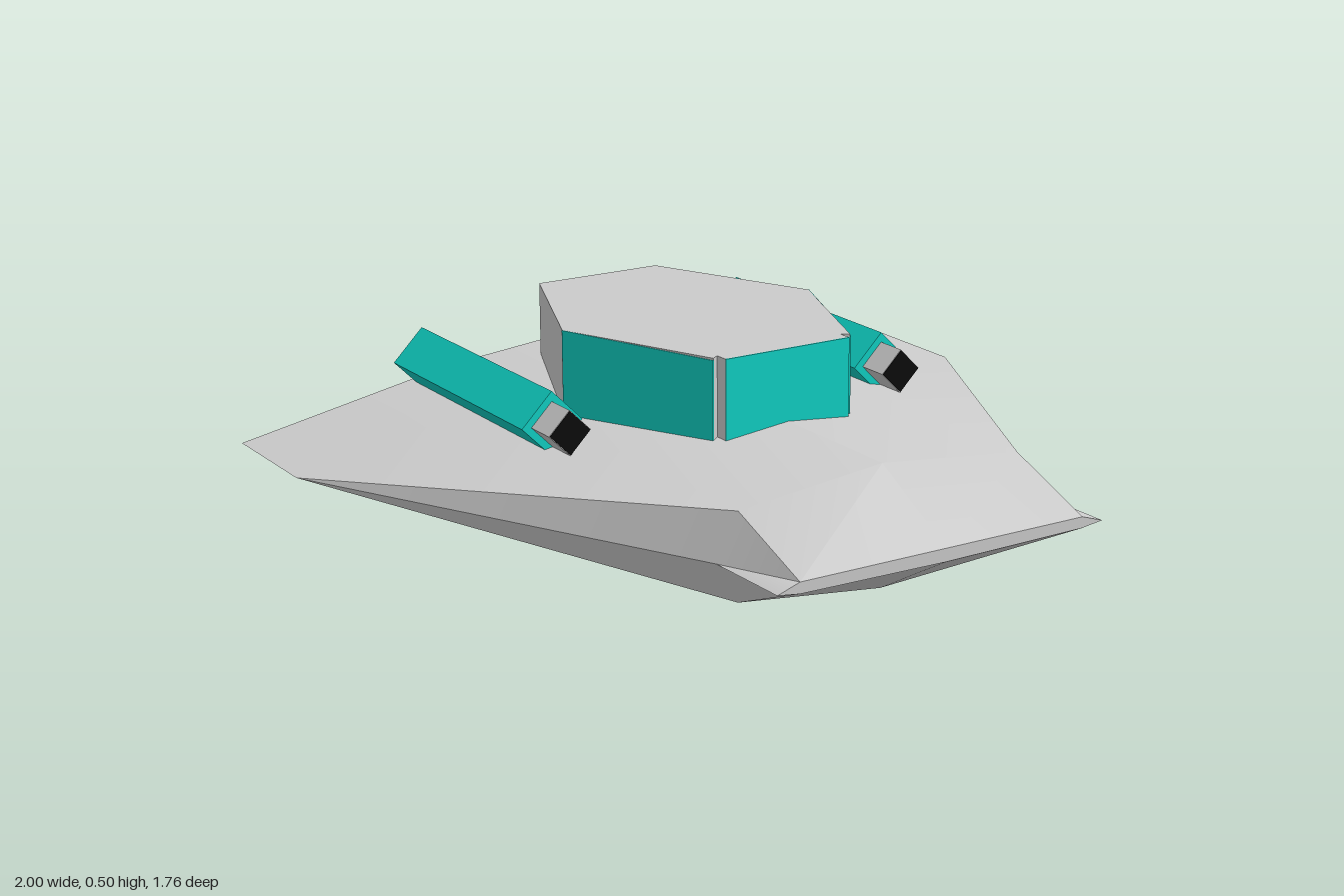
import * as THREE from 'three';
import { toCreasedNormals } from 'three/addons/utils/BufferGeometryUtils.js';

const paint = (color) => new THREE.MeshStandardMaterial({ color });

function add(parent, name, geometry, material, x = 0, y = 0, z = 0) {
  const mesh = new THREE.Mesh(geometry, material);
  mesh.name = name;
  mesh.position.set(x, y, z);
  parent.add(mesh);
  return mesh;
}

// Hull lofted through eight-cornered cross-sections, stern to bow
function hullGeometry() {
  const section = (z, w, edge, shoulder, ridge, chine, keel) => [
    [w, edge, z], [0.4, shoulder, z], [0, ridge, z], [-0.4, shoulder, z],
    [-w, edge, z], [-0.4, chine, z], [0, keel, z], [0.4, chine, z],
  ];
  const rings = [
    section(-0.785, 1, 0.16, 0.275, 0.315, 0.052, 0),
    section(-0.45, 1, 0.16, 0.275, 0.315, 0.052, 0),
    section(0.63, 0.46, 0.16, 0.275, 0.318, 0.054, 0.008),
    section(0.88, 0.46, 0.163, 0.183, 0.183, 0.155, 0.15),
  ];
  const pos = [];
  const tri = (...corners) => corners.forEach((c) => pos.push(...c));
  for (let i = 0; i < 3; i++) {
    const B = rings[i], F = rings[i + 1];
    for (let j = 0; j < 8; j++) {
      const k = (j + 1) % 8;
      // The fold always runs from the rear wing edge to the front shoulder
      if (k % 4 === 0) {
        tri(B[j], B[k], F[j]);
        tri(B[k], F[k], F[j]);
      } else {
        tri(B[j], B[k], F[k]);
        tri(B[j], F[k], F[j]);
      }
    }
  }
  for (let j = 1; j < 7; j++) {
    tri(rings[3][0], rings[3][j], rings[3][j + 1]);
    tri(rings[0][0], rings[0][j + 1], rings[0][j]);
  }
  const g = new THREE.BufferGeometry();
  g.setAttribute('position', new THREE.Float32BufferAttribute(pos, 3));
  return toCreasedNormals(g, 0.5);
}

// Diamond-section beam along z
function diamondBeam(halfDiagonal, length) {
  const side = halfDiagonal * Math.SQRT2;
  return new THREE.BoxGeometry(side, side, length).rotateZ(Math.PI / 4);
}

export function createModel() {
  const model = new THREE.Group();
  model.name = 'hoverCraft';
  const grey = paint(0xcccccc);
  const teal = paint(0x10d0c4);
  const black = paint(0x0a0a0a);

  add(model, 'hull', hullGeometry(), grey);

  // Cabin: hexagonal prism with a stepped front and a slightly sloping roof
  const cabin = new THREE.Group();
  cabin.name = 'cabin';
  model.add(cabin);
  const half = [[0.18, 0.235], [0.18, 0.198], [0.2, 0.212], [0.37, -0.22], [0.18, -0.68]];
  const outline = [...half, ...half.map(([x, z]) => [-x, z]).reverse()];
  const shape = new THREE.Shape(outline.map(([x, z]) => new THREE.Vector2(x, -z)));
  const body = new THREE.ExtrudeGeometry(shape, { depth: 0.3, bevelEnabled: false });
  body.rotateX(-Math.PI / 2).translate(0, 0.2, 0);
  const roofY = (z) => 0.502 + 0.012 * (z - 0.235);
  const p = body.attributes.position;
  for (let i = 0; i < p.count; i++) {
    if (p.getY(i) > 0.4) p.setY(i, roofY(p.getZ(i)));
  }
  body.computeVertexNormals();
  add(cabin, 'cabinBody', body, grey);

  // Coloured panels over the front and front-side walls
  const panel = (name, [x0, z0], [x1, z1]) => {
    const length = Math.hypot(x1 - x0, z1 - z0);
    const height = roofY(Math.min(z0, z1)) - 0.2;
    const mesh = add(cabin, name, new THREE.BoxGeometry(length, height, 0.004), teal,
      (x0 + x1) / 2, 0.2 + height / 2, (z0 + z1) / 2);
    mesh.rotation.y = Math.atan2(z0 - z1, x1 - x0);
  };
  panel('frontPanel', [-0.18, 0.235], [0.18, 0.235]);
  panel('leftPanel', [0.2, 0.212], [0.37, -0.22]);
  panel('rightPanel', [-0.37, -0.22], [-0.2, 0.212]);

  // Cannons on both shoulders
  for (const side of [1, -1]) {
    const cannon = new THREE.Group();
    cannon.name = side > 0 ? 'leftCannon' : 'rightCannon';
    cannon.position.set(side * 0.492, 0.315, 0);
    model.add(cannon);
    add(cannon, 'cannonHousing', diamondBeam(0.084, 0.697), teal, 0, 0, -0.4085);
    add(cannon, 'cannonBarrel', diamondBeam(0.058, 0.09), grey, 0, 0, -0.018);
    add(cannon, 'cannonMuzzle', diamondBeam(0.056, 0.004), black, 0, 0, 0.027);
  }

  // Exhausts on the stern
  for (const [name, x] of [['leftExhaust', 0.35], ['rightExhaust', -0.39]]) {
    const exhaust = new THREE.Group();
    exhaust.name = name;
    exhaust.position.set(x, 0.158, 0);
    model.add(exhaust);
    add(exhaust, 'exhaustBox', new THREE.BoxGeometry(0.284, 0.056, 0.105), grey, 0, 0, -0.8215);
    add(exhaust, 'exhaustSlot', new THREE.BoxGeometry(0.206, 0.032, 0.012), black, 0, 0, -0.874);
  }
  return model;
}
